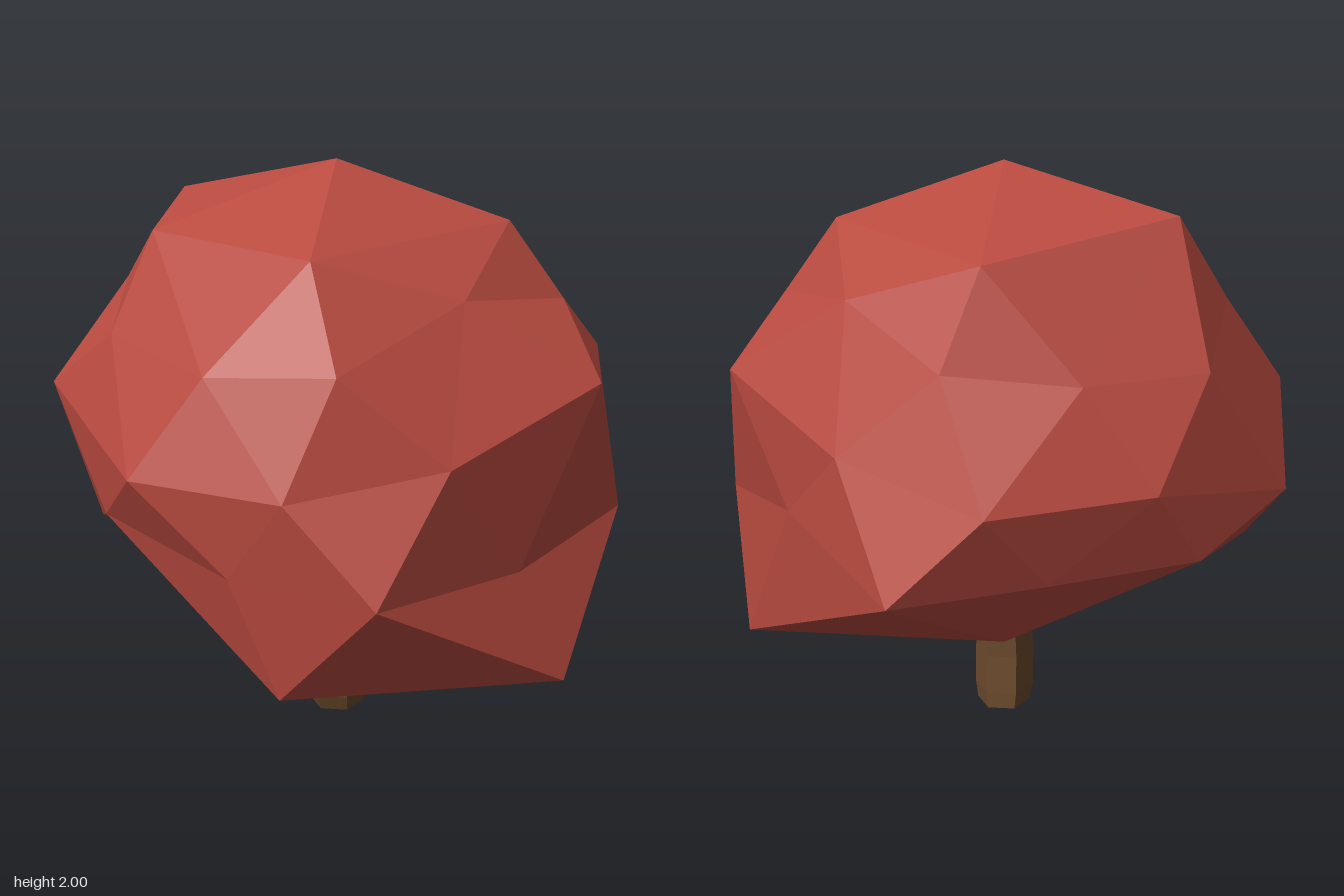
import * as THREE from 'three';

// Canopy: a faceted ball of rings, each running from +x towards +z
const TOP = [0, 2, 0.06];
const CROWN = [[0.58, 1.8, 0.02], [0, 1.75, 0.63], [-0.6, 1.77, 0.21], [-0.6, 1.86, -0.25], [0, 1.75, -0.61]];
const SHOULDER = [
  [0.77, 1.54, 0.02], [0.46, 1.6, 0.43], [0.11, 1.44, 0.84], [-0.32, 1.4, 0.73], [-0.71, 1.45, 0.37],
  [-0.77, 1.56, -0.06], [-0.71, 1.4, -0.47], [-0.32, 1.39, -0.66], [0.11, 1.44, -0.75], [0.46, 1.6, -0.43],
];
const WAIST = [
  [0.9, 1.32, 0.31], [0.45, 1.15, 0.78], [-0.04, 1.07, 0.94], [-0.56, 1.07, 0.77], [-0.98, 1.23, 0.19],
  [-0.99, 0.93, -0.18], [-0.56, 1.06, -0.7], [-0.05, 1.06, -0.98], [0.45, 1.15, -0.7], [0.9, 1.32, -0.27],
];
const SKIRT = [
  [0.99, 0.81, 0.02], [0.66, 0.72, 0.48], [0.25, 0.76, 0.98], [-0.23, 0.79, 0.85], [-0.7, 0.88, 0.55],
  [-0.87, 0.69, 0.04], [-0.7, 0.79, -0.53], [-0.23, 0.79, -0.8], [0.25, 0.76, -0.97], [0.66, 0.9, -0.5],
];
const HEM = [[0.82, 0.32, 0.43], [-0.07, 0.39, 0.85], [-0.46, 0.47, 0], [-0.07, 0.5, -0.58], [0.9, 0.33, -0.2]];
const BOTTOM = [0.04, 0.295, 0];

function canopyGeometry() {
  const positions = [];
  const face = (a, b, c) => positions.push(...c, ...b, ...a);
  const at = (ring, i) => ring[i % ring.length];

  // caps and the five-to-ten transitions
  for (let i = 0; i < 5; i++) {
    const j = 2 * i;
    const c0 = CROWN[i], c1 = at(CROWN, i + 1);
    const h0 = HEM[i], h1 = at(HEM, i + 1);
    face(TOP, c0, c1);
    face(c0, at(SHOULDER, j), at(SHOULDER, j + 1));
    face(c0, at(SHOULDER, j + 1), c1);
    face(c1, at(SHOULDER, j + 1), at(SHOULDER, j + 2));
    face(h0, at(SKIRT, j + 1), at(SKIRT, j));
    face(h0, at(SKIRT, j + 2), at(SKIRT, j + 1));
    face(h0, h1, at(SKIRT, j + 2));
    face(BOTTOM, h1, h0);
  }
  // the two zigzag bands around the middle
  for (let j = 0; j < 10; j++) {
    const w0 = WAIST[j], w1 = at(WAIST, j + 1);
    face(SHOULDER[j], w0, at(SHOULDER, j + 1));
    face(w0, w1, at(SHOULDER, j + 1));
    face(w0, SKIRT[j], at(SKIRT, j + 1));
    face(w0, at(SKIRT, j + 1), w1);
  }
  const geometry = new THREE.BufferGeometry();
  geometry.setAttribute('position', new THREE.Float32BufferAttribute(positions, 3));
  geometry.computeVertexNormals();
  return geometry;
}

// Trunk: a six-sided column, slightly bent; levels are [y, radius, z offset]
function trunkGeometry() {
  const levels = [[0.5, 0.09, 0.02], [0.3, 0.1, 0.04], [0.2, 0.108, 0.047], [0.06, 0.108, 0.035], [0, 0.098, 0.022]];
  const geometry = new THREE.CylinderGeometry(1, 1, 4, 6, 4);
  geometry.rotateY(Math.PI / 6);
  const p = geometry.attributes.position;
  for (let i = 0; i < p.count; i++) {
    const [y, r, z] = levels[Math.round(2 - p.getY(i))];
    p.setXYZ(i, p.getX(i) * r - 0.005, y, p.getZ(i) * r * 1.1 + z);
  }
  geometry.computeVertexNormals();
  return geometry;
}

export function createModel() {
  const group = new THREE.Group();
  group.name = 'tree';
  const add = (name, geometry, color) => {
    const mesh = new THREE.Mesh(geometry, new THREE.MeshStandardMaterial({ color, flatShading: true }));
    mesh.name = name;
    group.add(mesh);
  };
  add('canopy', canopyGeometry(), 0xb84a3f);
  add('trunk', trunkGeometry(), 0x6b4a2c);
  return group;
}
